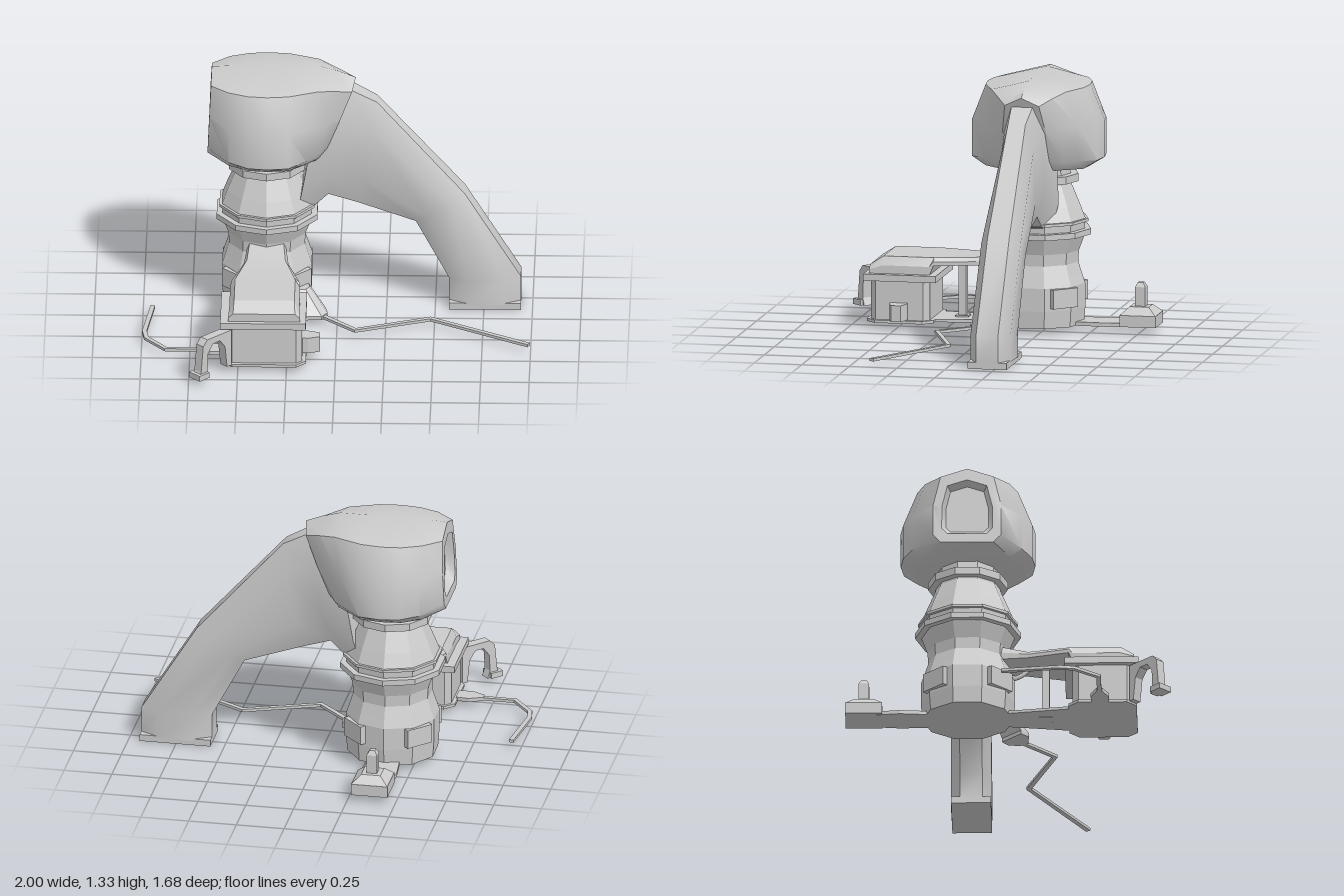
import * as THREE from 'three';
import { toCreasedNormals } from 'three/addons/utils/BufferGeometryUtils.js';

const mat = new THREE.MeshStandardMaterial({ color: 0xcccccc });
const flat = new THREE.MeshStandardMaterial({ color: 0xcccccc, flatShading: true });
const CX = -0.365, CZ = -0.21; // tower axis

// Skin closed loops of [x, y, z] points, cap both ends, face outward
function loft(loops, crease = 0.6) {
  const n = loops[0].length, pos = loops.flat(2), idx = [];
  for (let i = 0; i < loops.length - 1; i++) {
    for (let j = 0; j < n; j++) {
      const a = i * n + j, b = i * n + (j + 1) % n;
      idx.push(a, b, b + n, a, b + n, a + n);
    }
  }
  const last = (loops.length - 1) * n;
  for (let j = 1; j < n - 1; j++) idx.push(0, j + 1, j, last, last + j, last + j + 1);
  const p = (i) => new THREE.Vector3().fromArray(pos, i * 3);
  let volume = 0;
  for (let i = 0; i < idx.length; i += 3) volume += p(idx[i]).dot(p(idx[i + 1]).cross(p(idx[i + 2])));
  if (volume < 0) idx.reverse();
  const g = new THREE.BufferGeometry();
  g.setAttribute('position', new THREE.Float32BufferAttribute(pos, 3));
  g.setIndex(idx);
  return toCreasedNormals(g, crease);
}

// Vertical prism over a ground outline of [x, z] points
function prism(points, y0, y1) {
  const shape = new THREE.Shape(points.map(([x, z]) => new THREE.Vector2(x, z)));
  const g = new THREE.ExtrudeGeometry(shape, { depth: y1 - y0, bevelEnabled: false });
  return g.rotateX(Math.PI / 2).translate(0, y1, 0);
}

// Rectangle with cut corners
function cutRect(x0, x1, z0, z1, c) {
  return [[x0 + c, z0], [x1 - c, z0], [x1, z0 + c], [x1, z1 - c],
    [x1 - c, z1], [x0 + c, z1], [x0, z1 - c], [x0, z0 + c]];
}

// Flat strip following ground points
function strip(points, w, y0, y1) {
  const v = points.map((q) => new THREE.Vector2(...q));
  return loft(v.map((q, i) => {
    const d0 = q.clone().sub(v[Math.max(i - 1, 0)]).normalize();
    const d1 = v[Math.min(i + 1, v.length - 1)].clone().sub(q).normalize();
    const t = d0.add(d1).normalize(), ox = -t.y * w / 2, oz = t.x * w / 2;
    return [[q.x + ox, y0, q.y + oz], [q.x - ox, y0, q.y - oz],
      [q.x - ox, y1, q.y - oz], [q.x + ox, y1, q.y + oz]];
  }), 0.1);
}

export function createModel() {
  const model = new THREE.Group();
  const add = (name, geo, material = mat, x = 0, y = 0, z = 0) => {
    const m = new THREE.Mesh(geo, material);
    m.name = name;
    m.position.set(x, y, z);
    model.add(m);
    return m;
  };
  const box = (name, w, h, d, x, y, z) => add(name, new THREE.BoxGeometry(w, h, d), mat, x, y, z);

  // Faceted tower with three collars
  const profile = [[0, 0.03], [0.235, 0.03], [0.242, 0.12], [0.242, 0.24], [0.225, 0.29], [0.205, 0.35],
    [0.208, 0.41], [0.238, 0.49], [0.242, 0.58], [0.215, 0.65], [0.168, 0.76], [0.16, 0.9], [0, 0.9]];
  add('tower', new THREE.LatheGeometry(profile.map((q) => new THREE.Vector2(...q)), 10), flat, CX, 0, CZ);
  for (const [r, y, h] of [[0.272, 0.51, 0.03], [0.257, 0.57, 0.015], [0.205, 0.79, 0.04]]) {
    add('towerCollar', new THREE.CylinderGeometry(r, r, h, 10), flat, CX, y, CZ);
  }
  for (let i = 0; i < 4; i++) {
    const a = Math.PI * (0.25 + i / 2);
    const panel = box('towerPanel', 0.15, 0.1, 0.07, CX + 0.215 * Math.sin(a), 0.185, CZ + 0.215 * Math.cos(a));
    panel.rotation.y = a;
  }

  // Domed head, open hollow at its -x end: x top, x bottom, half width, y top, y bottom
  const headSection = [[0, 1], [0.78, 0.89], [1, 0.5], [1, 0.1], [0.78, 0], [-0.78, 0], [-1, 0.1], [-1, 0.5], [-0.78, 0.89]];
  const hoseSection = [[0.55, 1], [1, 0.75], [1, 0.25], [0.55, 0], [-0.55, 0], [-1, 0.25], [-1, 0.75], [-0.55, 1]];
  const sweep = (stations, section) => stations.map(([xt, xb, w, yt, yb]) =>
    section.map(([u, v]) => [xb + (xt - xb) * v, yb + (yt - yb) * v, CZ + u * w]));
  add('head', loft(sweep([
    [-0.61, -0.62, 0.11, 1.24, 0.98],
    [-0.655, -0.667, 0.13, 1.26, 0.95],
    [-0.65, -0.67, 0.175, 1.325, 0.9],
    [-0.56, -0.56, 0.28, 1.33, 0.865],
    [-0.46, -0.46, 0.332, 1.33, 0.855],
    [-0.36, -0.36, 0.346, 1.33, 0.855],
    [-0.25, -0.25, 0.33, 1.33, 0.855],
    [-0.09, -0.17, 0.25, 1.33, 0.86],
    [0.0, -0.11, 0.185, 1.305, 0.865],
    [0.09, -0.07, 0.115, 1.27, 0.88],
  ], headSection), 0.75));

  // Thick bent trunk from the head to the ground
  add('trunk', loft(sweep([
    [-0.08, -0.22, 0.14, 1.27, 0.48],
    [0.07, -0.05, 0.1, 1.22, 0.63],
    [0.2, 0.1, 0.083, 1.15, 0.58],
    [0.65, 0.4, 0.103, 0.64, 0.48],
    [0.94, 0.57, 0.105, 0.17, 0.16],
    [0.94, 0.57, 0.105, 0.03, 0.02],
  ], hoseSection), 0.9));
  box('trunkFoot', 0.37, 0.035, 0.205, 0.755, 0.0175, CZ);

  // Small front building: floor, walls, eave, roof running back to the tower
  add('buildingFloor', prism(cutRect(-0.58, -0.15, 0.31, 0.66, 0.05), 0.03, 0.045));
  add('buildingWalls', prism(cutRect(-0.56, -0.17, 0.33, 0.64, 0.03), 0.04, 0.26));
  box('buildingEave', 0.44, 0.035, 0.38, -0.37, 0.265, 0.48);
  const roof = [[0.645, 0.185, 0.28, 0.325], [0.575, 0.18, 0.28, 0.37], [0.33, 0.18, 0.28, 0.37],
    [0.31, 0.175, 0.33, 0.37], [0.1, 0.115, 0.33, 0.37], [0, 0.105, 0.33, 0.395], [-0.06, 0.1, 0.33, 0.41]];
  add('roofAndBridge', loft(roof.map(([z, w, y0, y1]) =>
    [[-1, 0], [1, 0], [1, 0.5], [0.86, 1], [-0.86, 1], [-1, 0.5]]
      .map(([u, v]) => [CX + u * w, y0 + (y1 - y0) * v, z])), 0.4));
  add('walkway', prism([[-0.5, 0.33], [-0.23, 0.33], [-0.29, -0.05], [-0.44, -0.05]], 0.03, 0.045));
  box('bridgePost', 0.04, 0.28, 0.04, CX, 0.18, 0.19);
  box('bridgePostFoot', 0.07, 0.025, 0.07, CX, 0.04, 0.19);
  const brace = new THREE.QuadraticBezierCurve3(new THREE.Vector3(CX, 0.33, 0.11),
    new THREE.Vector3(CX, 0.265, 0.08), new THREE.Vector3(CX, 0.255, -0.02));
  add('bridgeBrace', new THREE.TubeGeometry(brace, 8, 0.012, 6));

  // Side hatch on the building
  add('sideHatch', prism([[-0.18, 0.44], [-0.14, 0.44], [-0.08, 0.46], [-0.08, 0.51], [-0.14, 0.53], [-0.18, 0.53]], 0.05, 0.135));

  // Arched corner prop
  const arch = [[0, 0.24], [0.17, 0.24], [0.2, 0.21], [0.215, 0.07], [0.235, 0.03], [0.155, 0.03], [0.17, 0.07],
    [0.165, 0.16], [0.13, 0.205], [0.08, 0.205], [0.045, 0.16], [0.03, 0.04], [0, 0.04]];
  const propGeo = new THREE.ExtrudeGeometry(new THREE.Shape(arch.map((q) => new THREE.Vector2(...q))),
    { depth: 0.05, bevelEnabled: false }).translate(0, 0, -0.025);
  add('cornerProp', propGeo, mat, -0.55, 0, 0.64).rotation.y = -Math.PI * 0.75;
  const propFoot = box('propFoot', 0.07, 0.03, 0.08, -0.695, 0.045, 0.785);
  propFoot.rotation.y = -Math.PI * 0.75;

  // Ground paths with wider pads where they begin
  add('leftPad', prism([[-0.57, 0.43], [-0.64, 0.425], [-0.71, 0.455], [-0.71, 0.485], [-0.64, 0.52], [-0.57, 0.515]], 0.03, 0.05));
  add('sidePath', strip([[-0.69, 0.47], [-0.875, 0.47], [-0.975, 0.345], [-0.987, 0.27], [-0.95, -0.03]], 0.024, 0.03, 0.045));
  const pad = [[-0.2, 0.06], [-0.16, 0.1], [-0.08, 0.095], [-0.05, 0.05], [-0.06, -0.01], [-0.1, -0.04]];
  add('rightPad', loft([
    pad.map(([x, z]) => [x, 0.03, z]),
    pad.map(([x, z]) => [x, 0.05, z]),
    pad.map(([x, z]) => [-0.185 + (x + 0.11) * 0.7, 0.16, -0.035 + (z - 0.04) * 0.7]),
  ], 0.2));
  add('longPath', strip([[-0.08, 0.06], [0.095, 0.23], [0.48, 0.088], [0.99, 0.385]], 0.026, 0.03, 0.045));

  // Rear platform with stepped marker
  add('rearWalkway', prism([[-0.28, -0.4], [-0.44, -0.4], [-0.455, -0.56], [-0.44, -0.68], [-0.29, -0.68], [-0.275, -0.56]], 0.03, 0.05));
  box('markerBase', 0.19, 0.06, 0.19, CX, 0.063, -0.745);
  const frustum = (name, r0, r1, y0, y1) => add(name,
    new THREE.CylinderGeometry(r1 * Math.SQRT2, r0 * Math.SQRT2, y1 - y0, 4).rotateY(Math.PI / 4),
    flat, CX, (y0 + y1) / 2, -0.745);
  frustum('markerStep', 0.095, 0.05, 0.092, 0.133);
  frustum('markerPost', 0.027, 0.027, 0.13, 0.232);
  frustum('markerTip', 0.027, 0.014, 0.232, 0.255);
  return model;
}
